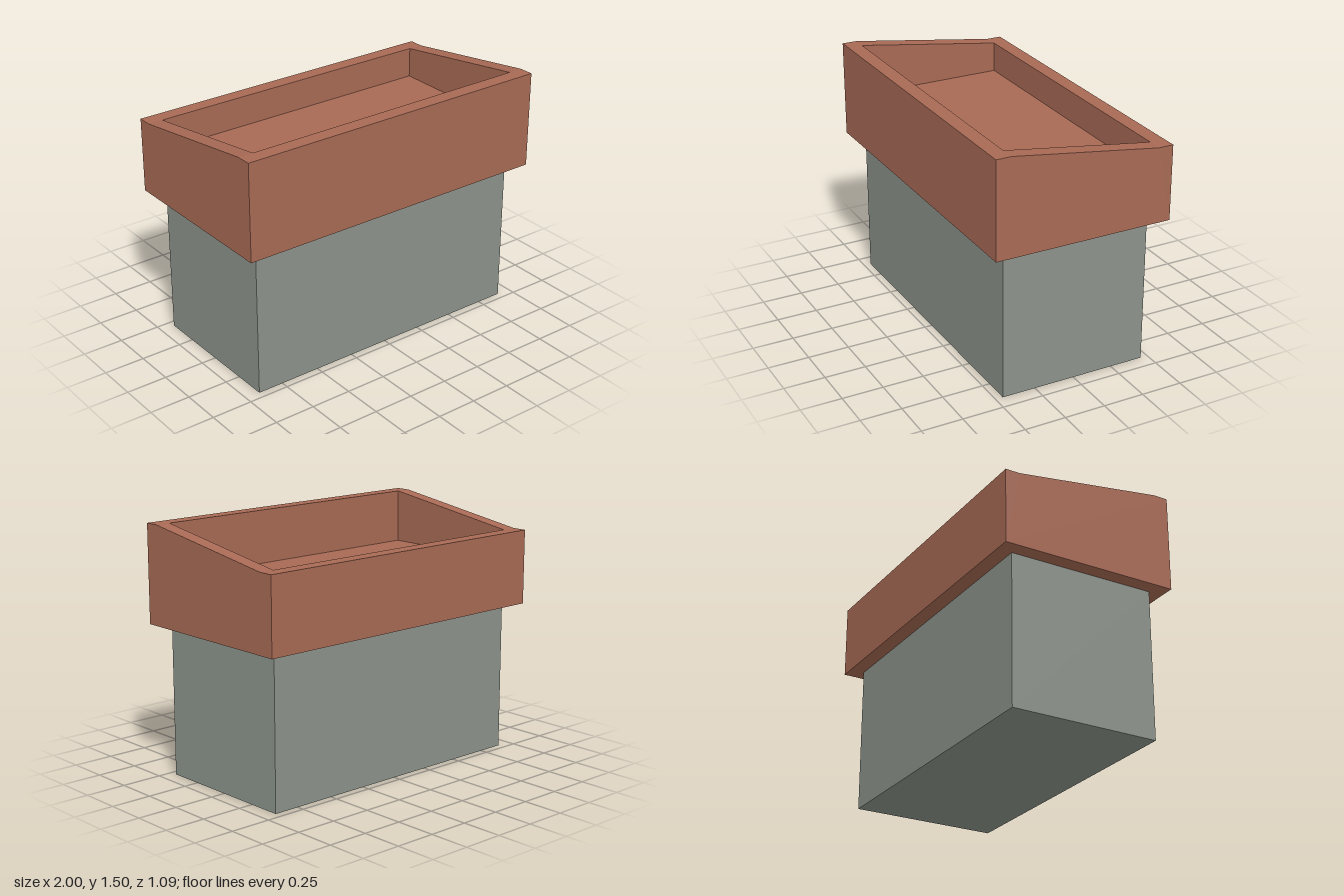
import * as THREE from 'three';

const W = 1, D = 0.545, T = 0.09;            // half width, half depth, wall thickness
const RIM = 0.91, FLOOR = 1.178;             // underside of the tray, tray floor
const FRONT_TOP = 1.5, BACK_TOP = 1.364;     // wall heights

export function createModel() {
  const terracotta = new THREE.MeshStandardMaterial({ color: 0xa86a55 });
  terracotta.name = 'terracotta';
  const greyStone = new THREE.MeshStandardMaterial({ color: 0x8c938b });
  greyStone.name = 'greyStone';

  const model = new THREE.Group();
  model.name = 'planter';

  const add = (name, geometry, material, parent = model) => {
    const mesh = new THREE.Mesh(geometry, material);
    mesh.name = name;
    parent.add(mesh);
    return mesh;
  };
  // box from its width, bottom, top and z range
  const block = (w, y0, y1, z0, z1) =>
    new THREE.BoxGeometry(w, y1 - y0, z1 - z0).translate(0, (y0 + y1) / 2, (z0 + z1) / 2);

  // plain base
  add('base', block(2 * (W - T), 0, RIM, -D + T, D - T), greyStone);

  const tray = new THREE.Group();
  tray.name = 'tray';
  model.add(tray);

  // front and back walls and the floor fit between the side walls
  const inner = 2 * (W - T);
  add('frontWall', block(inner, RIM, FRONT_TOP, D - T, D), terracotta, tray);
  add('backWall', block(inner, RIM, BACK_TOP, -D, -D + T), terracotta, tray);
  add('trayFloor', block(inner, RIM, FLOOR, -D + T, D - T), terracotta, tray);

  // side walls slope down to the back, with level ends
  const profile = new THREE.Shape([
    [-D, RIM], [D, RIM], [D, FRONT_TOP], [D - T, FRONT_TOP], [-D + T, BACK_TOP], [-D, BACK_TOP],
  ].map(([z, y]) => new THREE.Vector2(z, y)));
  const side = new THREE.ExtrudeGeometry(profile, { depth: T, bevelEnabled: false }).rotateY(-Math.PI / 2);
  add('leftWall', side, terracotta, tray).position.x = W;
  add('rightWall', side, terracotta, tray).position.x = -W + T;

  return model;
}
